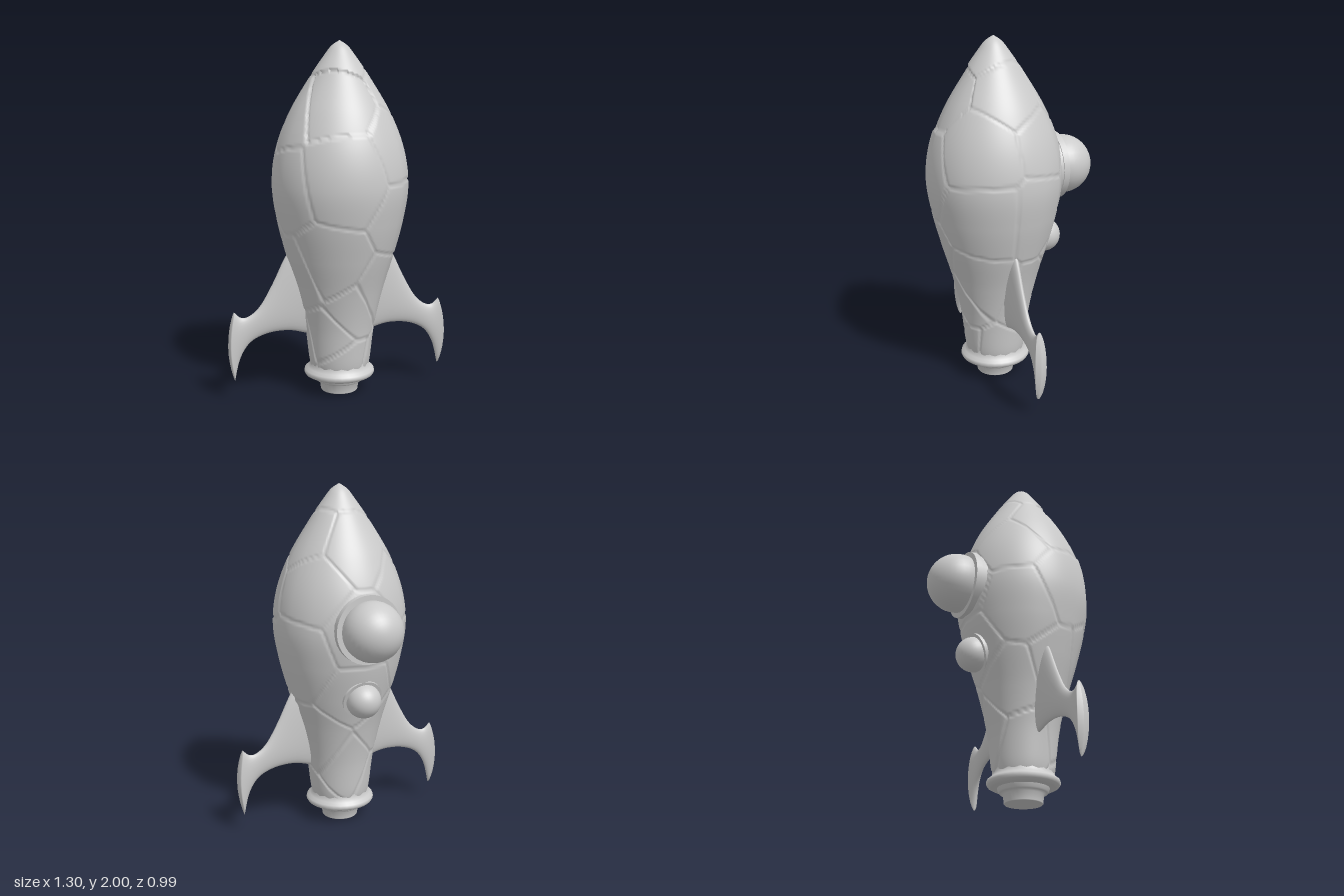
import * as THREE from 'three';
import { mergeVertices } from 'three/addons/utils/BufferGeometryUtils.js';

const AXIS_Z = 0.065;
const SIDES = 16;
const material = new THREE.MeshStandardMaterial({ color: 0xcccccc, side: THREE.DoubleSide });

function mesh(name, geometry) {
  const m = new THREE.Mesh(geometry, material);
  m.name = name;
  return m;
}
const v2 = (list) => list.map(([x, y]) => new THREE.Vector2(x, y));

// Hull radius at each height, bottom to top
const HULL = [[0.165, 0.14], [0.178, 0.2], [0.203, 0.4], [0.248, 0.6], [0.308, 0.8], [0.36, 1.0],
  [0.388, 1.2], [0.363, 1.4], [0.287, 1.6], [0.168, 1.8], [0.085, 1.92], [0.045, 1.97], [0, 2.0]];

// Centres of the cracked plates: angle from the front in degrees, height
const PLATES = [[-22, 1.68], [-12, 1.28], [55, 1.42], [58, 1.05], [118, 1.06], [100, 1.72],
  [-30, 0.76], [42, 0.6], [8, 0.5], [70, 0.15], [130, 0.5], [128, 1.46], [180, 1.68], [178, 1.2],
  [180, 0.84], [170, 0.4], [235, 1.45], [240, 1.05], [270, 1.6], [285, 1.2], [290, 0.7],
  [225, 0.6], [250, 0.3], [-35, 0.35], [0, 0.18], [20, 1.97]];

function hullRadius(y) {
  let i = 1;
  while (i < HULL.length - 1 && HULL[i][1] < y) i++;
  const [r0, y0] = HULL[i - 1], [r1, y1] = HULL[i];
  return r0 + (r1 - r0) * (y - y0) / (y1 - y0);
}

// Turned hull with grooves between plates, then pressed to a 16-sided outline
function hullGeometry() {
  const profile = new THREE.SplineCurve(v2(HULL)).getSpacedPoints(160);
  profile.forEach((p) => { p.x = Math.max(p.x, 0); });
  let g = new THREE.LatheGeometry(profile, 192);
  g.deleteAttribute('uv');
  g.deleteAttribute('normal');
  g = mergeVertices(g, 1e-5);
  const seeds = PLATES.map(([deg, y]) => {
    const a = THREE.MathUtils.degToRad(deg), r = hullRadius(y);
    return new THREE.Vector3(r * Math.sin(a), y, r * Math.cos(a));
  });
  const pos = g.attributes.position;
  const p = new THREE.Vector3();
  for (let i = 0; i < pos.count; i++) {
    p.fromBufferAttribute(pos, i);
    const r = Math.hypot(p.x, p.z);
    if (r < 0.01) continue;
    let first = Infinity, second = Infinity, plate = 0;
    seeds.forEach((s, k) => {
      const d = s.distanceTo(p);
      if (d < first) { second = first; first = d; plate = k; } else if (d < second) second = d;
    });
    const groove = 0.008 * Math.max(0, 1 - (second - first) / 0.018);
    const sunk = plate === 0 ? 0.01 : 0;
    const k = (r - Math.min(groove + sunk, r * 0.3)) / r;
    pos.setXYZ(i, p.x * k, p.y, p.z * k);
  }
  g.computeVertexNormals();
  const step = 2 * Math.PI / SIDES;
  for (let i = 0; i < pos.count; i++) {
    const a = Math.atan2(pos.getX(i), pos.getZ(i)) + 2 * Math.PI;
    const k = Math.cos(step / 2) / Math.cos((a % step) - step / 2);
    pos.setX(i, pos.getX(i) * k);
    pos.setZ(i, pos.getZ(i) * k);
  }
  return g;
}

// Swept fin: lens-shaped sections between an upper and a lower edge curve
function finGeometry() {
  const upper = new THREE.SplineCurve(v2([[0.22, 0.92], [0.31, 0.81], [0.39, 0.65], [0.46, 0.53],
    [0.52, 0.475], [0.57, 0.465], [0.612, 0.5]]));
  const lower = new THREE.SplineCurve(v2([[0.13, 0.33], [0.2, 0.35], [0.3, 0.373], [0.42, 0.365],
    [0.52, 0.32], [0.58, 0.23], [0.612, 0.1]]));
  const rows = 36, ring = 28, verts = [], index = [];
  for (let i = 0; i <= rows + 1; i++) {
    const u = Math.min(i / rows, 1);
    const top = upper.getPoint(u), low = lower.getPoint(u);
    const flare = Math.max(0, (u - 0.6) / 0.4) ** 2;
    // the extra last section closes the outer rim
    const half = i > rows ? 0 : 0.019 + 0.024 * (1 - u) ** 2 + 0.014 * flare;
    const bulge = (i > rows ? 0.036 : 0.03) * u ** 6;
    for (let j = 0; j < ring; j++) {
      const t = j / ring * 2 * Math.PI, c = Math.cos(t), s = Math.sin(t);
      const m = (1 + c) / 2;
      verts.push(low.x + (top.x - low.x) * m + bulge * s * s, low.y + (top.y - low.y) * m, half * s);
      if (i > rows) continue;
      const a = i * ring + j, b = i * ring + (j + 1) % ring;
      index.push(a, b, a + ring, b, b + ring, a + ring);
    }
  }
  const g = new THREE.BufferGeometry();
  g.setAttribute('position', new THREE.Float32BufferAttribute(verts, 3));
  g.setIndex(index);
  g.computeVertexNormals();
  return g;
}

// Porthole facing +y locally: collar ring and glass dome
function porthole(name, rimRadius, domeRadius, depth, domeOffset) {
  const group = new THREE.Group();
  group.name = name;
  const collar = [[rimRadius * 0.95, -depth], [rimRadius * 0.97, -0.035], [rimRadius, -0.035],
    [rimRadius, 0], [domeRadius * 0.9, 0]];
  const lathe = collar.slice(1).map((p, i) => new THREE.LatheGeometry(v2([collar[i], p]), 32));
  lathe.forEach((g) => group.add(mesh('portholeCollar', g)));
  const dome = mesh('portholeDome', new THREE.SphereGeometry(domeRadius, 32, 20));
  dome.position.y = domeOffset;
  group.add(dome);
  return group;
}

export function createModel() {
  const model = new THREE.Group();
  model.name = 'rocket';

  const hull = mesh('hull', hullGeometry());
  hull.position.z = AXIS_Z;
  model.add(hull);

  // Flanged skirt and stepped nozzle below the hull
  const skirt = mesh('skirt', new THREE.LatheGeometry(v2([[0.12, 0.085], [0.175, 0.087], [0.196, 0.098],
    [0.204, 0.112], [0.2, 0.128], [0.182, 0.14], [0.17, 0.16], [0.168, 0.18]]), 32));
  const nozzle = mesh('nozzle', new THREE.LatheGeometry(v2([[0, 0], [0.104, 0], [0.107, 0.004],
    [0.112, 0.05], [0.13, 0.058], [0.138, 0.066], [0.145, 0.09]]), 32));
  for (const part of [skirt, nozzle]) {
    part.position.z = AXIS_Z;
    model.add(part);
  }

  // Side fins
  const fin = finGeometry();
  for (const side of [1, -1]) {
    const m = mesh(side > 0 ? 'leftFin' : 'rightFin', fin);
    m.position.z = 0.06;
    m.rotation.y = side > 0 ? 0 : Math.PI;
    model.add(m);
  }

  // Two portholes on the back
  const large = porthole('largePorthole', 0.195, 0.17, 0.14, 0.04);
  large.position.set(-0.01, 1.235, -0.325);
  large.rotation.x = -Math.PI / 2;
  const small = porthole('smallPorthole', 0.118, 0.1, 0.09, 0.012);
  small.position.set(-0.01, 0.815, -0.24);
  small.rotation.x = -Math.PI / 2 - 0.33;
  model.add(large, small);

  return model;
}
